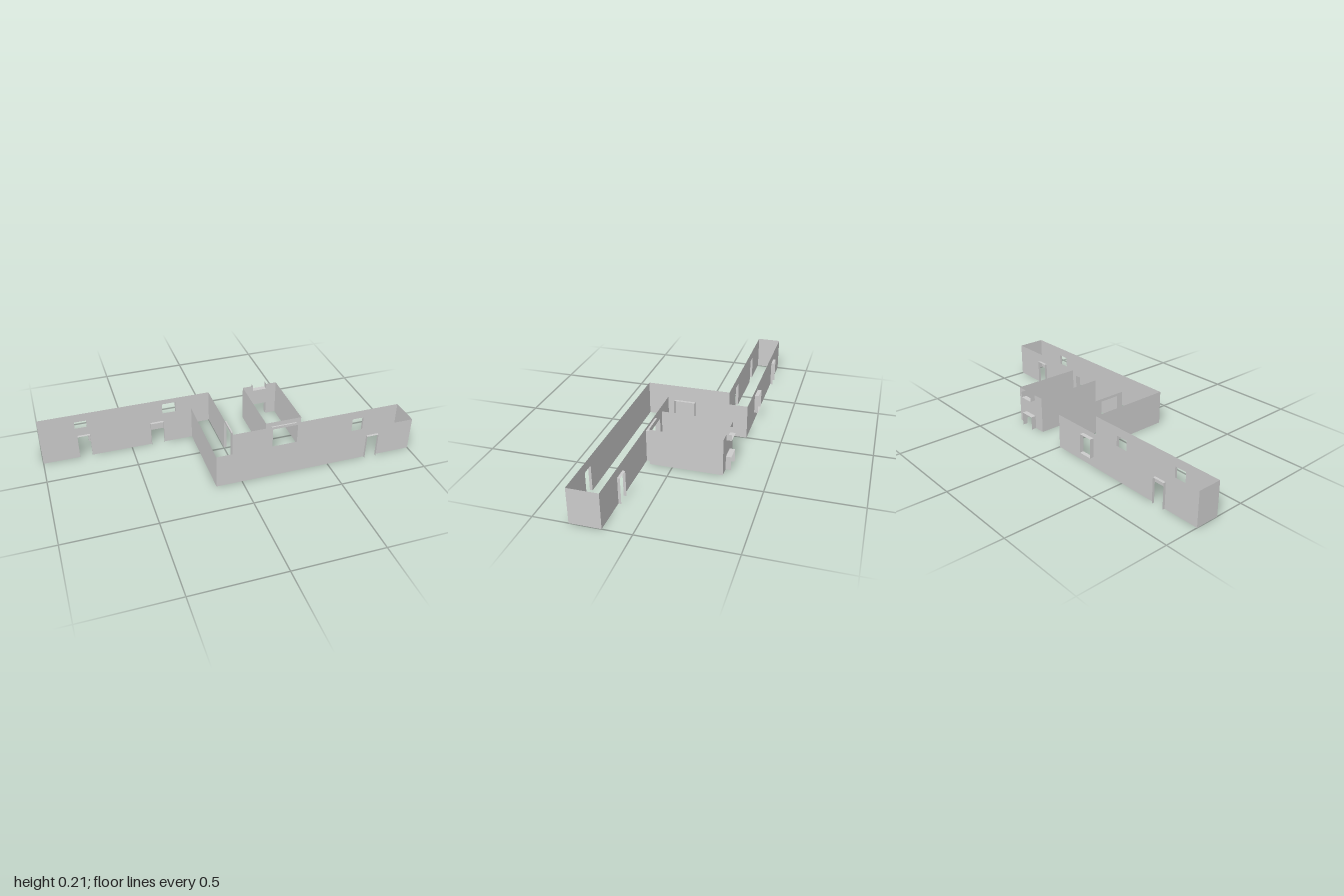
import * as THREE from 'three';

const material = new THREE.MeshStandardMaterial({ color: 0xcccccc, side: THREE.DoubleSide, flatShading: true });

// Thin strip that lines an opening: a path in the wall plane swept outward by depth
function revealStrip(path, depth) {
  const pos = [];
  for (let i = 0; i + 1 < path.length; i++) {
    const [ax, ay] = path[i], [bx, by] = path[i + 1];
    pos.push(ax, ay, 0, bx, by, 0, bx, by, depth);
    pos.push(ax, ay, 0, bx, by, depth, ax, ay, depth);
  }
  const geo = new THREE.BufferGeometry();
  geo.setAttribute('position', new THREE.Float32BufferAttribute(pos, 3));
  geo.computeVertexNormals();
  return geo;
}

// Wall from [x, z] to [x, z]; its outer side lies to the local +z.
// Openings: kind door (open at floor), window (closed) or notch (open at top),
// a and b are the ends measured along the wall.
function wall(name, from, to, height, openings = []) {
  const dx = to[0] - from[0], dz = to[1] - from[1];
  const length = Math.hypot(dx, dz);
  const group = new THREE.Group();
  group.name = name;
  group.position.set(from[0], 0, from[1]);
  group.rotation.y = Math.atan2(-dz, dx);

  const sorted = [...openings].sort((p, q) => p.a - q.a);
  const outline = [[0, 0]];
  for (const { kind, a, b, top } of sorted) {
    if (kind === 'door') outline.push([a, 0], [a, top], [b, top], [b, 0]);
  }
  outline.push([length, 0], [length, height]);
  for (const { kind, a, b, bottom } of sorted.slice().reverse()) {
    if (kind === 'notch') outline.push([b, height], [b, bottom], [a, bottom], [a, height]);
  }
  outline.push([0, height]);
  const shape = new THREE.Shape(outline.map(p => new THREE.Vector2(...p)));

  for (const { kind, a, b, bottom = 0, top = height, depth } of openings) {
    let path = [[a, 0], [a, top], [b, top], [b, 0]];
    if (kind === 'notch') path = [[a, height], [a, bottom], [b, bottom], [b, height]];
    if (kind === 'window') {
      path = [[a, bottom], [a, top], [b, top], [b, bottom], [a, bottom]];
      shape.holes.push(new THREE.Path(path.slice(0, 4).map(p => new THREE.Vector2(...p))));
    }
    if (depth) {
      const frame = new THREE.Mesh(revealStrip(path, depth), material);
      frame.name = kind + 'Frame';
      group.add(frame);
    }
  }
  const panel = new THREE.Mesh(new THREE.ShapeGeometry(shape), material);
  panel.name = name + 'Panel';
  group.add(panel);
  return group;
}

const door = (a, b, top, depth) => ({ kind: 'door', a, b, top, depth });

export function createModel() {
  const model = new THREE.Group();
  model.name = 'corridorBuilding';

  const H = 0.195;              // corridor wall height
  const D = 0.145, P = 0.0145;  // small door height and frame depth
  const L = -0.144;             // left side of the linking passage
  const back = -0.305, backInner = -0.169;
  const front = 0.314, frontInner = 0.15;

  // Corridors: one continuous zigzag, walked with the outside on the right
  model.add(
    wall('rearCorridorFrontWall', [-1, backInner], [L, backInner], H, [
      door(0.203, 0.273, D, P),
      door(0.615, 0.69, D, P),
    ]),
    wall('passageOuterWall', [L, backInner], [L, front], H),
    wall('frontCorridorFrontWall', [L, front], [1, front], H, [
      door(0.722 - L, 0.791 - L, D, P),
    ]),
    wall('frontCorridorEndWall', [1, front], [1, frontInner], H),
    wall('frontCorridorBackWall', [1, frontInner], [0, frontInner], H, [
      door(0.209, 0.278, D, P),
      door(0.617, 0.765, 0.18, 0.0285),
    ]),
    wall('passageInnerWall', [0, frontInner], [0, back], H, [
      door(0.04, 0.157, 0.18, 0.015),
    ]),
    wall('rearCorridorBackWall', [0, back], [-1, back], H, [
      { kind: 'window', a: 0.202, b: 0.284, bottom: 0.057, top: 0.166, depth: 0.0225 },
      door(0.727, 0.797, D, P),
    ]),
    wall('rearCorridorEndWall', [-1, back], [-1, backInner], H),
  );

  // Side room behind the front corridor
  const x0 = 0.203, x1 = 0.412, z0 = -0.271, z1 = 0.1215, RH = 0.207;
  model.add(
    wall('roomFrontWall', [x0, z1], [x1, z1], RH, [door(0.032, 0.18, 0.18, 0)]),
    wall('roomLeftWall', [x1, z1], [x1, z0], RH),
    wall('roomBackWall', [x1, z0], [x0, z0], RH, [
      door(0.06, 0.145, 0.077, 0.029),
      { kind: 'notch', a: 0.06, b: 0.145, bottom: 0.174, depth: 0.029 },
    ]),
    wall('roomRightWall', [x0, z0], [x0, z1], RH),
  );
  return model;
}
